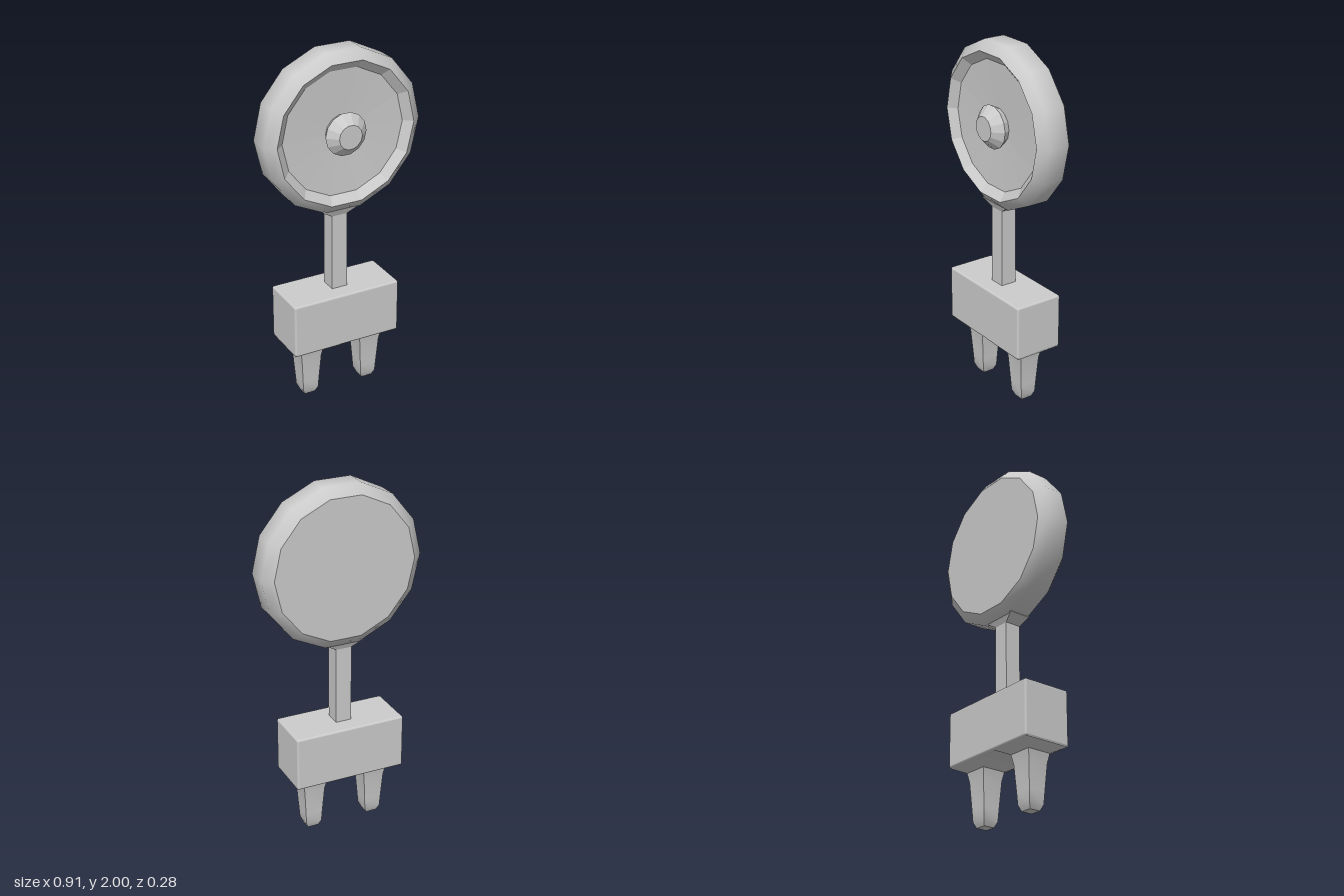
import * as THREE from 'three';
import { toCreasedNormals } from 'three/addons/utils/BufferGeometryUtils.js';
import { RoundedBoxGeometry } from 'three/addons/geometries/RoundedBoxGeometry.js';

const SIDES = 14;
const DISC_Y = 1.556;
const points = (list) => list.map(([r, y]) => new THREE.Vector2(r, y));

// Square column: each level is [half width, y]
function squareLoft(levels) {
  const profile = points(levels.map(([h, y]) => [h * Math.SQRT2, y]));
  return new THREE.LatheGeometry(profile, 4, Math.PI / 4);
}

// Faceted turned part whose axis points to the front; each level is [radius, z]
function turned(levels) {
  const geometry = new THREE.LatheGeometry(points(levels), SIDES, Math.PI / 2);
  return geometry.rotateX(Math.PI / 2);
}

export function createModel() {
  const model = new THREE.Group();
  model.name = 'discOnPluggedBase';
  const smooth = new THREE.MeshStandardMaterial({ color: 0xcccccc });
  const flat = new THREE.MeshStandardMaterial({ color: 0xcccccc, flatShading: true });

  function add(name, geometry, material, x = 0, y = 0, z = 0) {
    const mesh = new THREE.Mesh(geometry, material);
    mesh.name = name;
    mesh.position.set(x, y, z);
    model.add(mesh);
  }

  // Disc: softly shaded outer rim, flat back, recessed front
  add('discRim', turned([[0.4, -0.104], [0.455, -0.062], [0.455, 0.058], [0.4, 0.1]]), smooth, 0, DISC_Y);
  add('discBack', turned([[0, -0.104], [0.4, -0.104]]), flat, 0, DISC_Y);
  add('discDish', turned([[0.4, 0.1], [0.353, 0.06], [0, 0.045]]), flat, 0, DISC_Y);
  add('centreKnob', turned([[0.095, 0.04], [0.12, 0.088], [0.067, 0.14], [0, 0.14]]), flat, 0, DISC_Y);

  // Stem, flaring sideways where it meets the rim
  const stem = squareLoft([[0.046, 0.62], [0.046, 1.08], [0.105, 1.118], [0.105, 1.16]]);
  const position = stem.attributes.position;
  for (let i = 0; i < position.count; i++) {
    if (position.getY(i) > 1.1) position.setZ(i, position.getZ(i) * 0.6);
  }
  add('stem', stem, flat, -0.015);

  // Base block
  add('baseBlock', new RoundedBoxGeometry(0.64, 0.31, 0.283, 2, 0.012), smooth, -0.015, 0.485, -0.002);

  // Two tapered prongs with a flared collar under the block
  const prong = toCreasedNormals(squareLoft([
    [0, 0.004], [0.032, 0.002], [0.046, 0.035], [0.05, 0.1], [0.06, 0.25],
    [0.07, 0.302], [0.135, 0.333], [0.135, 0.345],
  ]), 0.7);
  add('rightProng', prong, smooth, -0.198, -0.002);
  add('leftProng', prong, smooth, 0.168, -0.002);

  return model;
}
